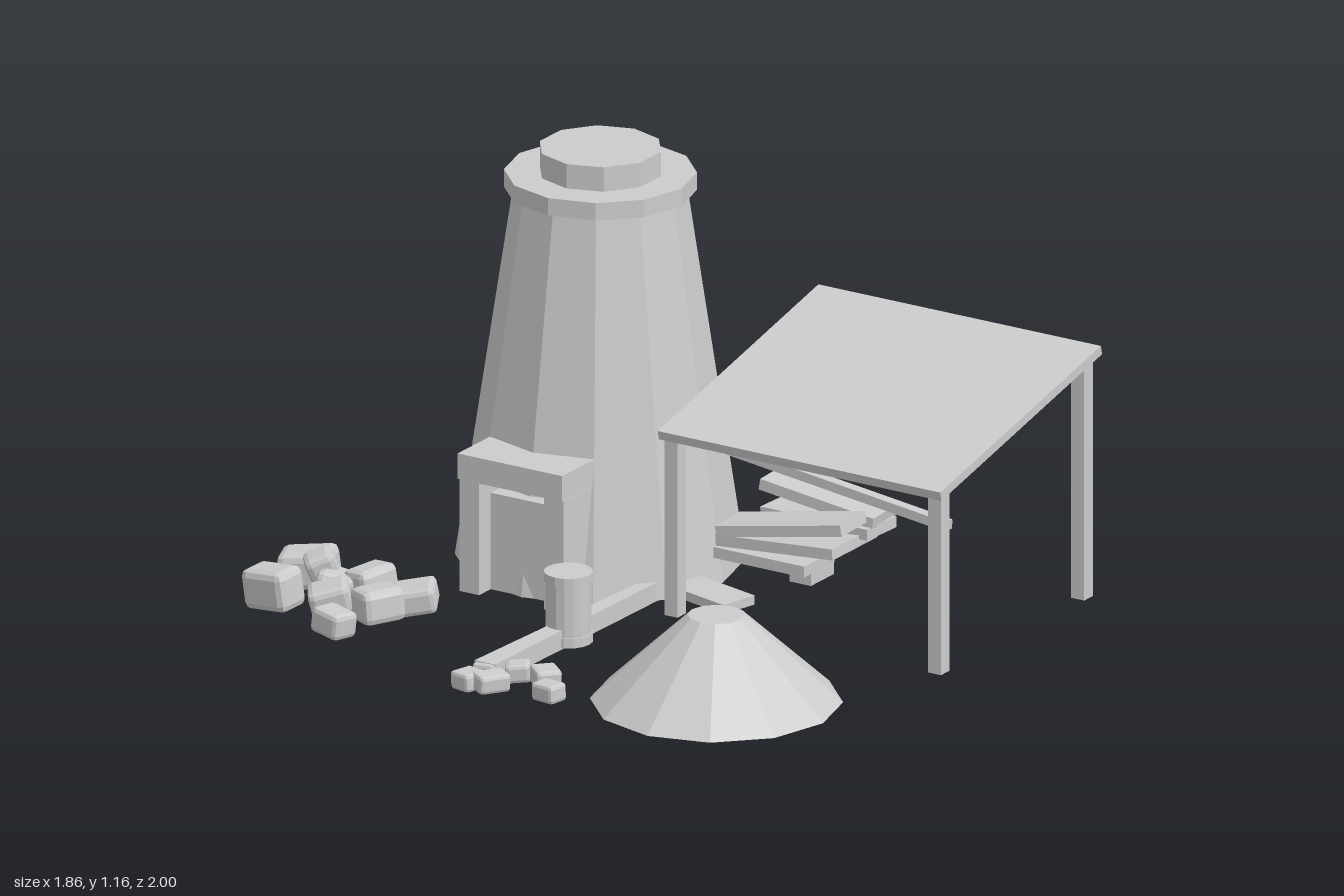
import * as THREE from 'three';
import { RoundedBoxGeometry } from 'three/addons/geometries/RoundedBoxGeometry.js';

export function createModel() {
  const root = new THREE.Group();
  const clay = new THREE.MeshStandardMaterial({ color: 0xcccccc });
  clay.name = 'plainGrey';
  clay.flatShading = true;

  function add(name, geo, x, y, z, rx = 0, ry = 0, rz = 0) {
    const m = new THREE.Mesh(geo, clay);
    m.name = name;
    m.position.set(x, y, z);
    m.rotation.set(rx, ry, rz);
    root.add(m);
    return m;
  }
  // box given by its limits on each axis
  const block = (name, x0, x1, y0, y1, z0, z1) =>
    add(name, new THREE.BoxGeometry(x1 - x0, y1 - y0, z1 - z0),
      (x0 + x1) / 2, (y0 + y1) / 2, (z0 + z1) / 2);
  // upright frustum given by its bottom and top heights
  const drum = (name, rTop, rBottom, y0, y1, sides, x, z) =>
    add(name, new THREE.CylinderGeometry(rTop, rBottom, y1 - y0, sides), x, (y0 + y1) / 2, z);

  // kiln tower
  const kx = -0.317, kz = -0.098;
  drum('kilnBody', 0.225, 0.377, 0.05, 1.07, 12, kx, kz);
  drum('kilnRim', 0.25, 0.25, 1.06, 1.108, 12, kx, kz);
  drum('kilnChimney', 0.162, 0.162, 1.1, 1.175, 10, kx, kz);

  // furnace doorway
  for (const s of [-1, 1]) {
    const cx = kx + s * 0.13;
    block('doorJamb', cx - 0.03, cx + 0.03, 0.05, 0.358, 0.18, 0.325);
  }
  block('doorLintel', -0.478, -0.156, 0.36, 0.43, 0.16, 0.333);
  block('doorPanel', -0.42, -0.214, 0.05, 0.315, 0.1, 0.27);

  // canopy with four posts and a sloping roof
  for (const x of [0.0875, 0.899]) {
    block('frontPost', x - 0.02, x + 0.02, 0.05, 0.545, 0.15, 0.192);
    block('backPost', x - 0.02, x + 0.02, 0.05, 0.705, -0.532, -0.49);
  }
  const run = 0.765, rise = 0.173;
  add('canopyRoof', new THREE.BoxGeometry(0.87, 0.025, Math.hypot(run, rise)),
    0.495, 0.634, -0.173, Math.atan2(rise, run));

  // timber under the canopy
  add('longBeam', new THREE.BoxGeometry(0.68, 0.026, 0.03), 0.377, 0.355, -0.163, 0, 0, -0.12);
  block('stackSupport', 0.2, 0.265, 0.05, 0.165, -0.31, -0.2);
  block('stackBase', 0.11, 0.38, 0.165, 0.19, -0.34, -0.19);
  block('stackBase', 0.11, 0.39, 0.165, 0.195, -0.12, 0.025);
  const planks = [
    [0.29, 0.225, -0.05, 0.36, 0.03, 0.13, 0, 0.08],
    [0.3, 0.272, -0.05, 0.38, 0.03, 0.13, 0.05, 0.18],
    [0.28, 0.225, -0.26, 0.34, 0.03, 0.13, -0.05, 0.02],
    [0.28, 0.28, -0.26, 0.34, 0.03, 0.13, 0.06, -0.15]
  ];
  for (const [x, y, z, w, h, d, ry, rz] of planks)
    add('stackedPlank', new THREE.BoxGeometry(w, h, d), x, y, z, 0, ry, rz);
  add('groundPlank', new THREE.BoxGeometry(0.27, 0.025, 0.11), 0.09, 0.072, 0.04, 0, -0.25, 0);

  // long board on the ground, tapering towards the back
  const board = new THREE.BoxGeometry(1, 0.052, 1.52);
  const bp = board.attributes.position;
  for (let i = 0; i < bp.count; i++) {
    const back = bp.getZ(i) < 0, right = bp.getX(i) > 0;
    bp.setX(i, back ? (right ? -0.006 : -0.016) : (right ? -0.022 : -0.085));
  }
  add('taperedBoard', board, 0, 0.071, 0.1);

  // barrel with hoops
  drum('barrel', 0.06, 0.06, 0.05, 0.238, 16, -0.035, 0.49);
  for (const y of [0.05, 0.215])
    drum('barrelHoop', 0.064, 0.064, y, y + 0.026, 16, -0.035, 0.49);

  // flat wing joining the kiln and the log pile
  const outline = [[-0.8, -1], [-0.73, -1], [-0.24, -0.45], [-0.32, -0.1], [-0.62, -0.25], [-0.8, -0.43]];
  const wing = new THREE.Shape(outline.map(([x, z]) => new THREE.Vector2(x, -z)));
  add('groundWing', new THREE.ExtrudeGeometry(wing, { depth: 0.035, bevelEnabled: false }),
    0, 0.05, 0, -Math.PI / 2);

  // log pile
  for (const [x, y, shift] of [[-0.89, 0.085, 0], [-0.83, 0.085, -0.005], [-0.77, 0.085, 0.004],
    [-0.86, 0.138, 0.003], [-0.8, 0.138, -0.004]])
    add('log', new THREE.CylinderGeometry(0.03, 0.03, 0.56, 8), x, y, -0.714 + shift, Math.PI / 2);

  // heap of powder
  drum('powderHeap', 0.075, 0.328, 0.05, 0.285, 12, 0.535, 0.667);

  // bevelled stones: x, y, z, width, height, depth, turn, tilt
  const stones = [
    [-0.836, 0.095, 0.485, 0.15, 0.1, 0.11, 0.35, 0.1],
    [-0.85, 0.082, 0.635, 0.14, 0.11, 0.1, -0.12, 0.12],
    [-0.725, 0.075, 0.535, 0.1, 0.09, 0.12, 0.4, -0.2],
    [-0.69, 0.075, 0.61, 0.11, 0.08, 0.1, 0.6, 0.2],
    [-0.645, 0.09, 0.485, 0.09, 0.09, 0.12, -0.3, 0.15],
    [-0.56, 0.078, 0.585, 0.1, 0.09, 0.12, -0.55, 0.1],
    [-0.52, 0.07, 0.475, 0.12, 0.07, 0.11, 0.5, 0.15],
    [-0.615, 0.055, 0.71, 0.1, 0.07, 0.08, -0.25, -0.1],
    [-0.775, 0.12, 0.52, 0.08, 0.08, 0.08, 0.7, 0.3],
    [-0.055, 0.07, 0.845, 0.065, 0.05, 0.055, 0.1, 0.05],
    [-0.066, 0.066, 0.918, 0.07, 0.05, 0.07, -0.3, 0.05],
    [-0.005, 0.068, 0.905, 0.06, 0.05, 0.09, -0.5, -0.1],
    [0.015, 0.07, 0.805, 0.065, 0.05, 0.06, 0.5, 0.08],
    [0.095, 0.07, 0.8, 0.075, 0.05, 0.07, -0.7, -0.05],
    [0.16, 0.067, 0.885, 0.075, 0.05, 0.06, -0.2, 0.03]
  ];
  for (const [x, y, z, w, h, d, turn, tilt] of stones)
    add('stone', new RoundedBoxGeometry(w, h, d, 1, Math.min(w, h, d) * 0.2), x, y, z, tilt * 0.5, turn, tilt);

  return root;
}
